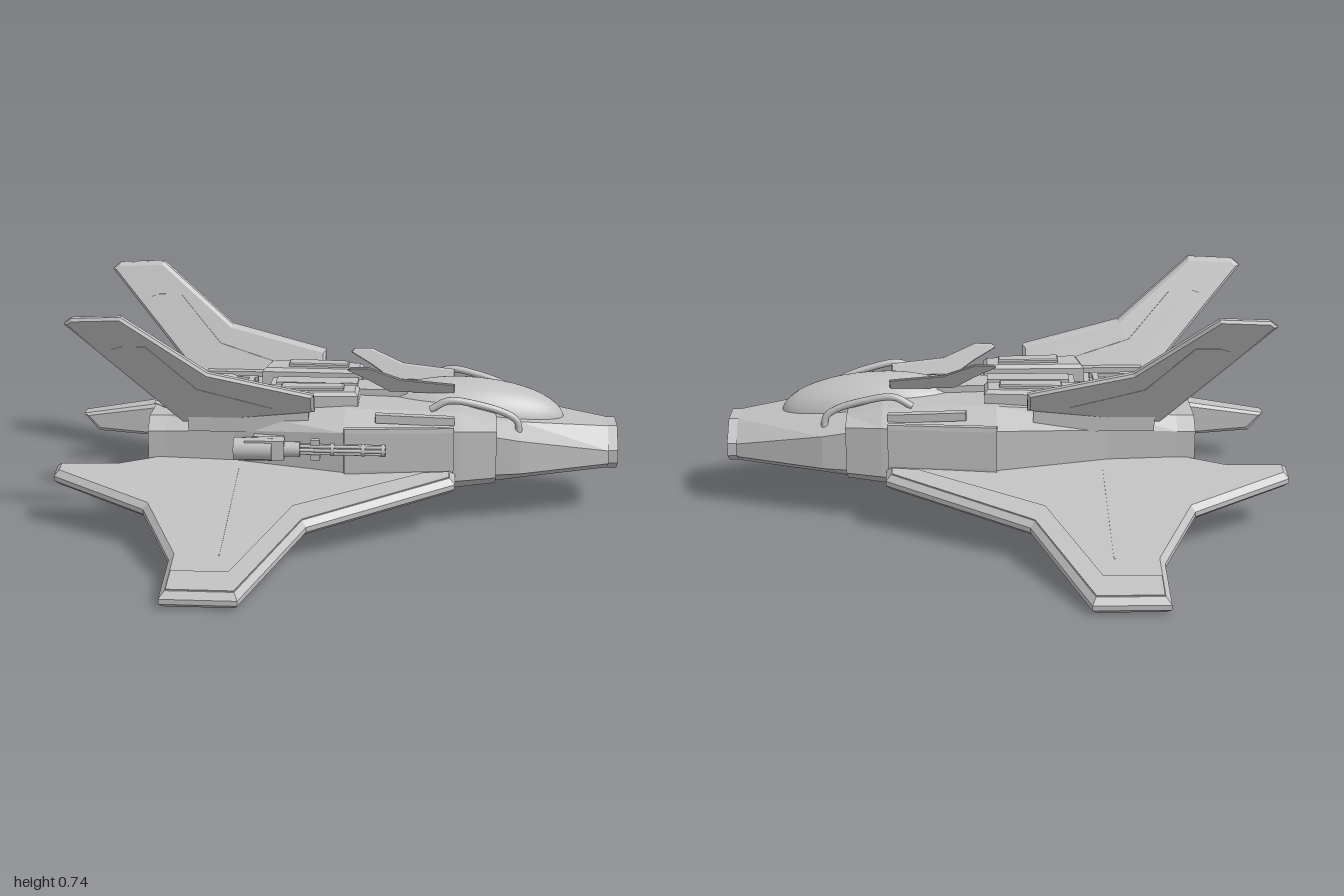
import * as THREE from 'three';

const hullMat = new THREE.MeshStandardMaterial({ color: 0xc0c0c0 });
hullMat.name = 'hull grey';

// Mirrored copy across z = 0 with its triangles turned outward again
function mirrored(geo) {
  const g = geo.index ? geo.toNonIndexed() : geo.clone();
  g.scale(1, 1, -1);
  for (const a of Object.values(g.attributes)) {
    for (let i = 0; i < a.count; i += 3) {
      for (let k = 0; k < a.itemSize; k++) {
        const t = a.getComponent(i + 1, k);
        a.setComponent(i + 1, k, a.getComponent(i + 2, k));
        a.setComponent(i + 2, k, t);
      }
    }
  }
  return g;
}

// Bevelled plate from an outline, each vertex placed by map(u, v, w)
function plate(points, depth, bevel, map) {
  const shape = new THREE.Shape(points.map(p => new THREE.Vector2(p[0], p[1])));
  const g = new THREE.ExtrudeGeometry(shape, {
    depth: depth - 2 * bevel, bevelEnabled: bevel > 0, bevelSize: bevel,
    bevelThickness: bevel, bevelOffset: -bevel, bevelSegments: 1,
  });
  g.translate(0, 0, bevel);
  const p = g.attributes.position;
  for (let i = 0; i < p.count; i++) p.setXYZ(i, ...map(p.getX(i), p.getY(i), p.getZ(i)));
  g.computeVertexNormals();
  return g;
}

// Faceted loft; section: x, bottom y, bottom half, low y, side half, high y, top half, top y
function loft(sections) {
  const rings = sections.map(([x, yb, b, yl, w, yu, t, yt]) => {
    const half = [[yb, -b], [yl, -w], [yu, -w], [yt, -t]];
    const other = half.map(([y, z]) => [y, -z]).reverse();
    return [...half, ...other].map(([y, z]) => [x, y, z]);
  });
  const v = [], n = 8;
  for (let i = 0; i + 1 < rings.length; i++) {
    for (let j = 0; j < n; j++) {
      const k = (j + 1) % n, A = rings[i], B = rings[i + 1];
      v.push(...A[j], ...A[k], ...B[k], ...A[j], ...B[k], ...B[j]);
    }
  }
  const F = rings[rings.length - 1], R = rings[0];
  for (let j = 1; j < n - 1; j++) v.push(...F[0], ...F[j], ...F[j + 1], ...R[0], ...R[j + 1], ...R[j]);
  const g = new THREE.BufferGeometry();
  g.setAttribute('position', new THREE.Float32BufferAttribute(v, 3));
  g.computeVertexNormals();
  return g;
}

export function createModel() {
  const model = new THREE.Group();
  model.name = 'starfighter';
  const add = (name, geo) => {
    const m = new THREE.Mesh(geo, hullMat);
    m.name = name;
    model.add(m);
    return m;
  };
  const pair = (name, geo) => { add(name + 'Left', geo); add(name + 'Right', mirrored(geo)); };
  const box = (x0, x1, y0, y1, z0, z1) => new THREE.BoxGeometry(x1 - x0, y1 - y0, z1 - z0)
    .translate((x0 + x1) / 2, (y0 + y1) / 2, (z0 + z1) / 2);
  const rod = (x0, x1, y, z, r, sides = 12) => new THREE.CylinderGeometry(r, r, x1 - x0, sides)
    .rotateZ(-Math.PI / 2).translate((x0 + x1) / 2, y, z);

  // Fuselage and nose
  add('fuselage', loft([
    [-0.58, 0.15, 0.16, 0.19, 0.24, 0.30, 0.19, 0.34],
    [-0.35, 0.11, 0.20, 0.16, 0.25, 0.31, 0.22, 0.365],
    [0.02, 0.09, 0.23, 0.14, 0.315, 0.33, 0.22, 0.385],
    [0.40, 0.115, 0.21, 0.16, 0.28, 0.33, 0.20, 0.375],
    [0.52, 0.125, 0.19, 0.165, 0.255, 0.325, 0.18, 0.345],
  ]));
  add('nose', loft([
    [0.52, 0.13, 0.18, 0.17, 0.24, 0.30, 0.16, 0.335],
    [0.60, 0.135, 0.16, 0.172, 0.23, 0.285, 0.14, 0.325],
    [0.90, 0.15, 0.08, 0.18, 0.13, 0.225, 0.055, 0.29],
  ]));

  // Nose rim with recessed grille
  const rim = new THREE.Shape([[-0.08, 0.15], [0.08, 0.15], [0.122, 0.18], [0.122, 0.225], [0.052, 0.29],
    [-0.052, 0.29], [-0.122, 0.225], [-0.122, 0.18]].map(p => new THREE.Vector2(...p)));
  rim.holes.push(new THREE.Path([[-0.07, 0.16], [-0.108, 0.185], [-0.108, 0.215], [-0.075, 0.242],
    [0.075, 0.242], [0.108, 0.215], [0.108, 0.185], [0.07, 0.16]].map(p => new THREE.Vector2(...p))));
  add('noseRim', new THREE.ExtrudeGeometry(rim, { depth: 0.035, bevelEnabled: false })
    .rotateY(Math.PI / 2).translate(0.897, 0, 0));
  for (let i = -5; i <= 5; i++) add('noseGrilleBar', box(0.895, 0.92, 0.162, 0.24, i * 0.016 - 0.004, i * 0.016 + 0.004));

  // Engine exhaust frame, vanes and tail spike
  const frame = new THREE.Shape([[-0.16, 0.15], [0.16, 0.15], [0.24, 0.19], [0.24, 0.30], [0.19, 0.34],
    [-0.19, 0.34], [-0.24, 0.30], [-0.24, 0.19]].map(p => new THREE.Vector2(...p)));
  for (const s of [-1, 1]) {
    frame.holes.push(new THREE.Path([[0.065, 0.175], [0.15, 0.175], [0.22, 0.2], [0.22, 0.29], [0.18, 0.32], [0.065, 0.32]]
      .map(p => new THREE.Vector2(s * p[0], p[1]))));
  }
  add('exhaustFrame', new THREE.ExtrudeGeometry(frame, { depth: 0.062, bevelEnabled: false })
    .rotateY(Math.PI / 2).translate(-0.64, 0, 0));
  for (const z of [0.1, 0.14, 0.18]) pair('exhaustVane', box(-0.615, -0.575, 0.18, 0.32, z - 0.005, z + 0.005));
  add('tailSpike', plate([[-0.62, 0.215], [-0.85, 0.23], [-0.9, 0.29], [-0.62, 0.335]], 0.09, 0.012,
    (u, v, w) => [u, v, (w - 0.045) * (1 + (u + 0.62) * 0.9)]));

  // Main wings, drooping outward, with raised leading panel and seam
  const wingMap = lift => (u, v, w) => [u, 0.262 + lift - 0.217 * v - w, v];
  pair('wing', plate([[-0.94, 0.275], [-0.94, 0.345], [-0.61, 0.53], [-0.485, 0.8], [-0.485, 1], [-0.25, 1],
    [-0.08, 0.61], [0.385, 0.345], [0.385, 0.27], [0.3, 0.2], [-0.55, 0.2], [-0.74, 0.27]], 0.05, 0.017, wingMap(0)));
  pair('wingLeadingPanel', plate([[-0.466, 0.885], [-0.466, 0.98], [-0.263, 0.98], [-0.095, 0.597], [0.365, 0.334],
    [0.365, 0.3], [0.28, 0.31], [-0.13, 0.52], [-0.29, 0.885]], 0.008, 0, wingMap(0.003)));
  pair('wingSeam', plate([[-0.333, 0.3], [-0.333, 0.8], [-0.328, 0.8], [-0.328, 0.3]], 0.006, 0, wingMap(0.002)));

  // Canted tail fins
  const finMap = off => (u, v, w) => [u, v, 0.23 + off + 0.47 * (v - 0.38) + w];
  pair('tailFin', plate([[-0.865, 0.71], [-0.84, 0.73], [-0.68, 0.737], [-0.42, 0.53], [-0.08, 0.45], [-0.08, 0.385],
    [-0.4, 0.34], [-0.52, 0.335]], 0.042, 0.01, finMap(0)));
  const finPanel = [[-0.72, 0.62], [-0.69, 0.63], [-0.61, 0.63], [-0.46, 0.47], [-0.22, 0.4], [-0.22, 0.39], [-0.49, 0.37]];
  pair('finOuterPanel', plate(finPanel, 0.006, 0, finMap(0.039)));
  pair('finInnerPanel', plate(finPanel, 0.006, 0, finMap(-0.003)));
  pair('finRoot', box(-0.5, -0.1, 0.31, 0.385, 0.2, 0.262));

  // Canopy: a stretched dome, longer toward the nose
  const dome = new THREE.SphereGeometry(1, 40, 16, 0, Math.PI * 2, 0, Math.PI / 2);
  const dp = dome.attributes.position;
  for (let i = 0; i < dp.count; i++) {
    const x = dp.getX(i);
    dp.setXYZ(i, 0.39 + x * (x > 0 ? 0.365 : 0.3), 0.295 + dp.getY(i) * 0.14, dp.getZ(i) * 0.137);
  }
  dome.computeVertexNormals();
  add('canopy', dome);
  pair('canopyFin', plate([[0.02, 0.488], [0.03, 0.498], [0.09, 0.5], [0.2, 0.455], [0.38, 0.437], [0.38, 0.4],
    [0.16, 0.405], [0.09, 0.45]], 0.016, 0.003, (u, v, w) => [u, v, 0.07 + 0.5 * (v - 0.41) + w]));

  // Dorsal spine, equipment boxes and rear hatch
  add('spine', box(-0.25, 0.22, 0.36, 0.405, -0.06, 0.06));
  add('spineBox', box(-0.23, 0.05, 0.4, 0.418, -0.035, 0.035));
  pair('equipmentBox', plate([[-0.29, 0.09], [-0.27, 0.215], [0.06, 0.19], [0.06, 0.085]], 0.075, 0.012,
    (u, v, w) => [u, 0.43 - w, v]));
  pair('equipmentLid', plate([[-0.2, 0.12], [-0.2, 0.18], [0.01, 0.165], [0.01, 0.115]], 0.02, 0.004,
    (u, v, w) => [u, 0.442 - w, v]));
  add('hatchFloor', box(-0.54, -0.31, 0.33, 0.372, -0.15, 0.15));
  pair('hatchSideFrame', box(-0.53, -0.31, 0.365, 0.386, 0.13, 0.148));
  for (const x of [-0.52, -0.33]) add('hatchCrossFrame', box(x - 0.01, x + 0.01, 0.365, 0.386, -0.14, 0.14));
  add('hatchCapsule', new THREE.CapsuleGeometry(0.026, 0.065, 6, 14).rotateZ(Math.PI / 2).translate(-0.43, 0.385, -0.08));
  add('antenna', new THREE.CylinderGeometry(0.006, 0.006, 0.06, 8).rotateZ(1.2).translate(-0.61, 0.348, 0.1));

  // Side armour, shoulder rails and bent pipes
  pair('sideArmour', loft([
    [0.02, 0.18, 0.01, 0.2, 0.012, 0.33, 0.01, 0.345],
    [0.38, 0.19, 0.01, 0.2, 0.012, 0.33, 0.01, 0.345],
  ]).rotateY(0.095).translate(0, 0, 0.316));
  pair('shoulderRail', box(-0.13, 0.13, -0.014, 0.014, -0.014, 0.014).rotateY(0.1).rotateZ(-0.06).translate(0.25, 0.362, 0.255));
  const pipe = new THREE.CatmullRomCurve3([[0.3, 0.38, 0.2], [0.36, 0.41, 0.195], [0.46, 0.395, 0.185], [0.56, 0.36, 0.175],
    [0.59, 0.335, 0.175], [0.595, 0.28, 0.18]].map(p => new THREE.Vector3(...p)));
  pair('bentPipe', new THREE.TubeGeometry(pipe, 32, 0.012, 10));

  // Belly plate
  add('bellyPlate', box(0.0, 0.18, 0.084, 0.12, -0.12, 0.12));

  // Gun on the left side only
  add('gunBody', box(-0.3, -0.17, 0.255, 0.32, 0.335, 0.385));
  add('gunDrum', rod(-0.335, -0.21, 0.285, 0.36, 0.038, 16));
  add('gunMount', box(-0.28, -0.18, 0.265, 0.305, 0.25, 0.345));
  add('gunCollar', rod(-0.17, -0.12, 0.285, 0.355, 0.025));
  add('gunSight', box(-0.085, -0.055, 0.25, 0.318, 0.342, 0.362));
  for (let i = 0; i < 6; i++) {
    const a = i * Math.PI / 3;
    add('gunBarrel', rod(-0.13, 0.16, 0.285 + 0.013 * Math.sin(a), 0.352 + 0.013 * Math.cos(a), 0.006, 8));
  }
  for (const x of [-0.02, 0.08, 0.145]) add('barrelClamp', rod(x, x + 0.012, 0.285, 0.352, 0.021));

  return model;
}
